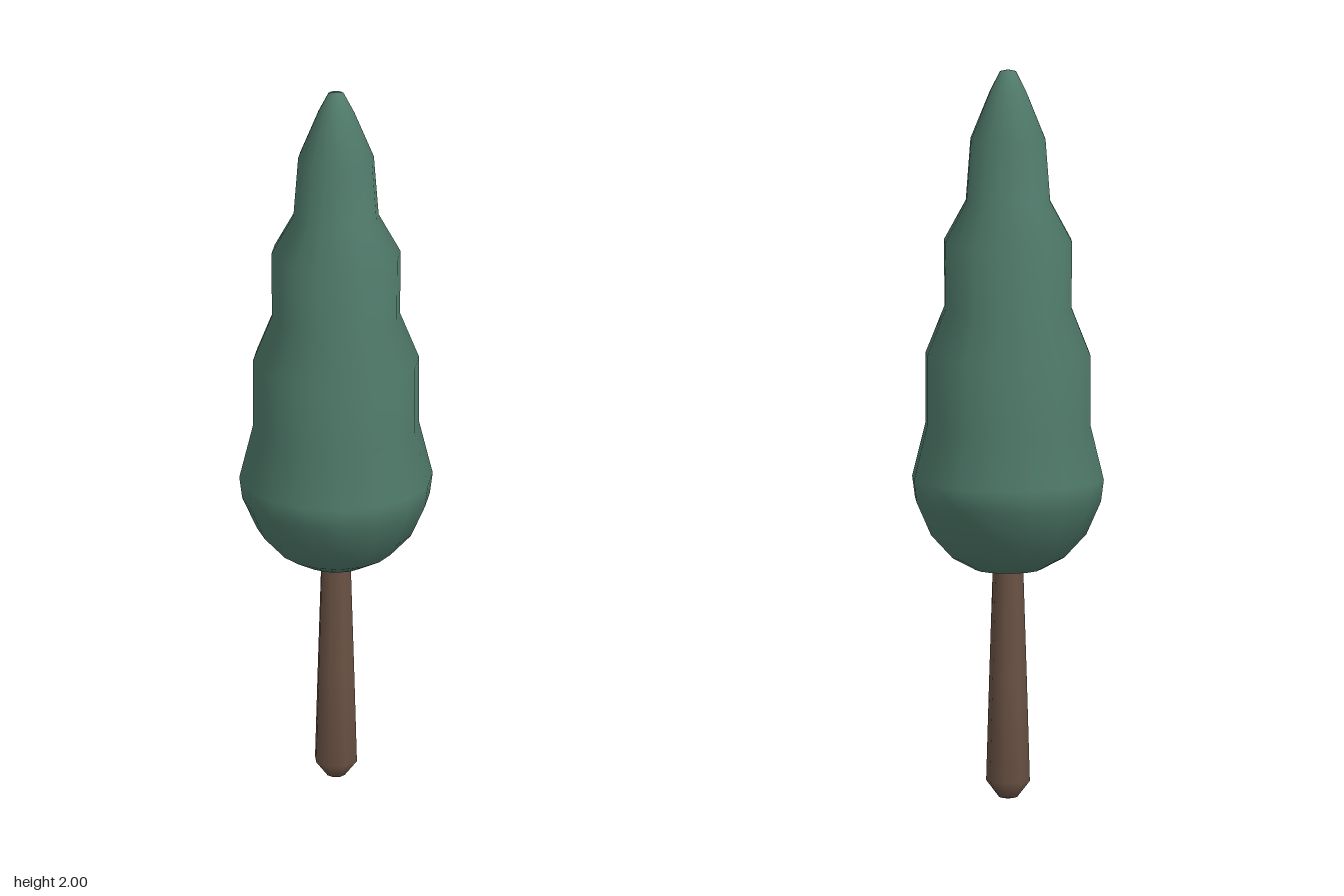
import * as THREE from 'three';

const foliageGreen = new THREE.MeshStandardMaterial({ color: 0x4f7a6a });
foliageGreen.name = 'foliage green';
const barkBrown = new THREE.MeshStandardMaterial({ color: 0x6a5244 });
barkBrown.name = 'bark brown';

// Revolves a [radius, height] profile, listed bottom to top
function turned(name, profile, sides, material) {
  const points = profile.map(([r, y]) => new THREE.Vector2(r, y));
  const mesh = new THREE.Mesh(new THREE.LatheGeometry(points, sides), material);
  mesh.name = name;
  return mesh;
}

export function createModel() {
  const tree = new THREE.Group();
  tree.name = 'tree';

  // Tapered trunk with a blunt foot, running up into the foliage
  tree.add(turned('trunk', [
    [0, 0], [0.025, 0.005], [0.06, 0.05], [0.052, 0.32], [0.042, 0.63], [0.038, 0.75],
  ], 8, barkBrown));

  // Four stacked swellings, narrowing to a rounded tip
  tree.add(turned('foliage', [
    [0, 0.618], [0.09, 0.63], [0.155, 0.665], [0.215, 0.73], [0.255, 0.82], [0.263, 0.88],
    [0.226, 1.03], [0.226, 1.22],
    [0.174, 1.35], [0.176, 1.53],
    [0.116, 1.64], [0.103, 1.81],
    [0.05, 1.94], [0.022, 1.995], [0, 2],
  ], 16, foliageGreen));

  return tree;
}
